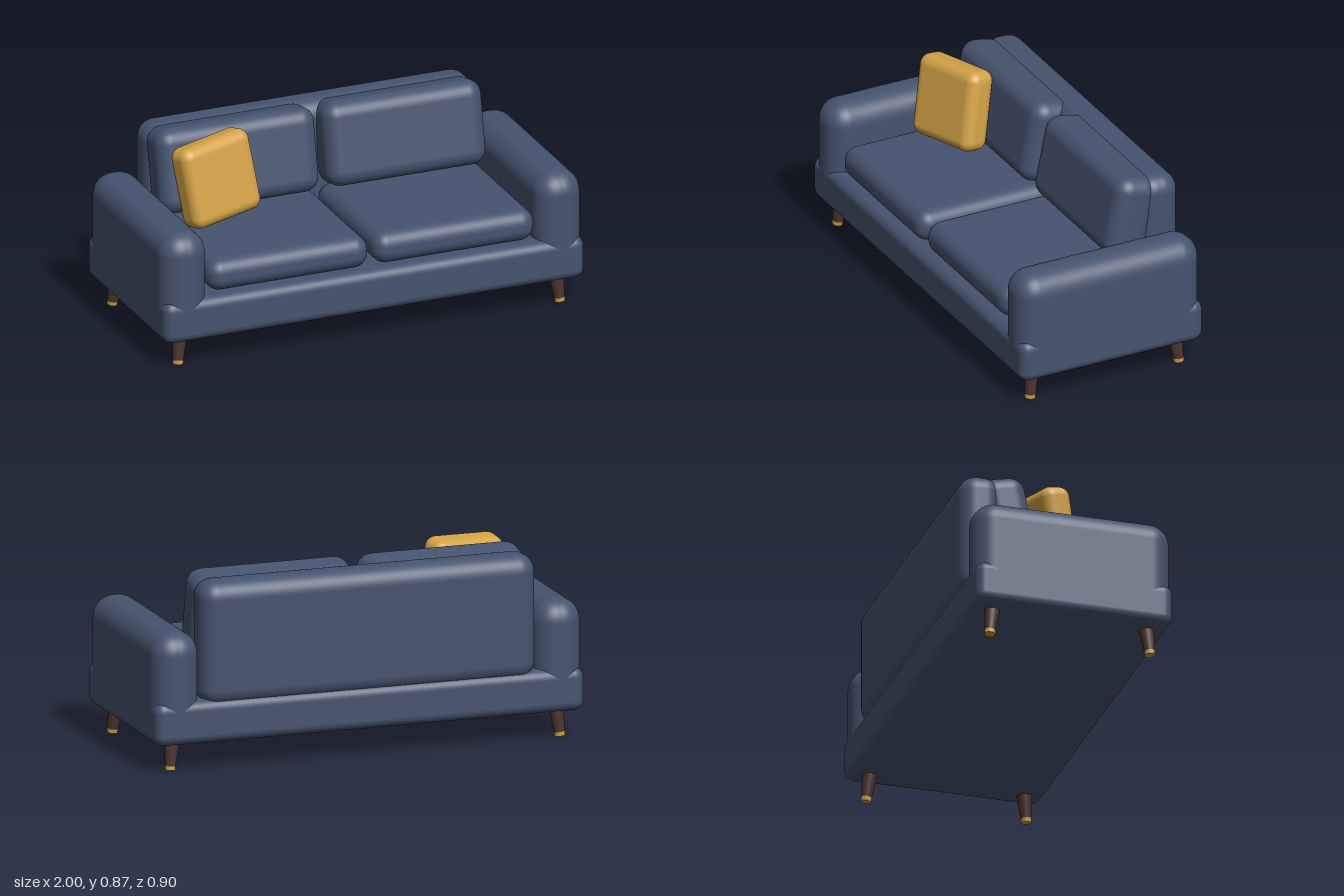
import * as THREE from 'three';
import { RoundedBoxGeometry } from 'three/addons/geometries/RoundedBoxGeometry.js';

const material = (name, color) => {
  const m = new THREE.MeshStandardMaterial({ color });
  m.name = name;
  return m;
};

export function createModel() {
  const sofa = new THREE.Group();
  sofa.name = 'sofa';
  const navy = material('navy fabric', 0x46546f);
  const mustard = material('mustard fabric', 0xd4a347);
  const wood = material('dark wood', 0x4e342e);
  const brass = material('brass', 0xcc9c42);

  // Rounded upholstery block: size, corner radius, centre
  const block = (name, mat, [w, h, d], radius, [x, y, z]) => {
    const mesh = new THREE.Mesh(new RoundedBoxGeometry(w, h, d, 6, radius), mat);
    mesh.name = name;
    mesh.position.set(x, y, z);
    sofa.add(mesh);
    return mesh;
  };

  // Frame
  block('base', navy, [2, 0.195, 0.9], 0.045, [0, 0.2225, 0]);
  block('backrest', navy, [1.565, 0.565, 0.19], 0.08, [0, 0.5625, -0.355]);

  for (const [side, s] of [['left', 1], ['right', -1]]) {
    block(side + 'Arm', navy, [0.216, 0.47, 0.9], 0.098, [s * 0.892, 0.39, 0]);
    block(side + 'SeatCushion', navy, [0.766, 0.147, 0.7], 0.065, [s * 0.395, 0.3985, 0.075]);
    block(side + 'BackCushion', navy, [0.757, 0.383, 0.2], 0.07, [s * 0.3975, 0.665, -0.222])
      .rotation.x = -0.2;
  }

  // Throw pillow leaning in the right corner
  block('throwPillow', mustard, [0.373, 0.37, 0.14], 0.05, [-0.5625, 0.677, -0.022])
    .rotation.set(-0.22, 0.25, 0.13);

  // Splayed tapered legs with brass tips
  const legGeometry = new THREE.CylinderGeometry(0.034, 0.022, 0.125, 24);
  const tipGeometry = new THREE.CylinderGeometry(0.0245, 0.0232, 0.019, 24);
  for (const sx of [1, -1]) {
    for (const sz of [1, -1]) {
      const leg = new THREE.Group();
      leg.name = (sz > 0 ? 'front' : 'back') + (sx > 0 ? 'Left' : 'Right') + 'Leg';
      const shaft = new THREE.Mesh(legGeometry, wood);
      shaft.name = 'legShaft';
      const tip = new THREE.Mesh(tipGeometry, brass);
      tip.name = 'legTip';
      tip.position.y = -0.0535;
      leg.add(shaft, tip);
      leg.position.set(sx * 0.903, 0.0655, sz * 0.361);
      leg.rotation.set(-sz * 0.11, 0, sx * 0.1);
      sofa.add(leg);
    }
  }
  return sofa;
}
